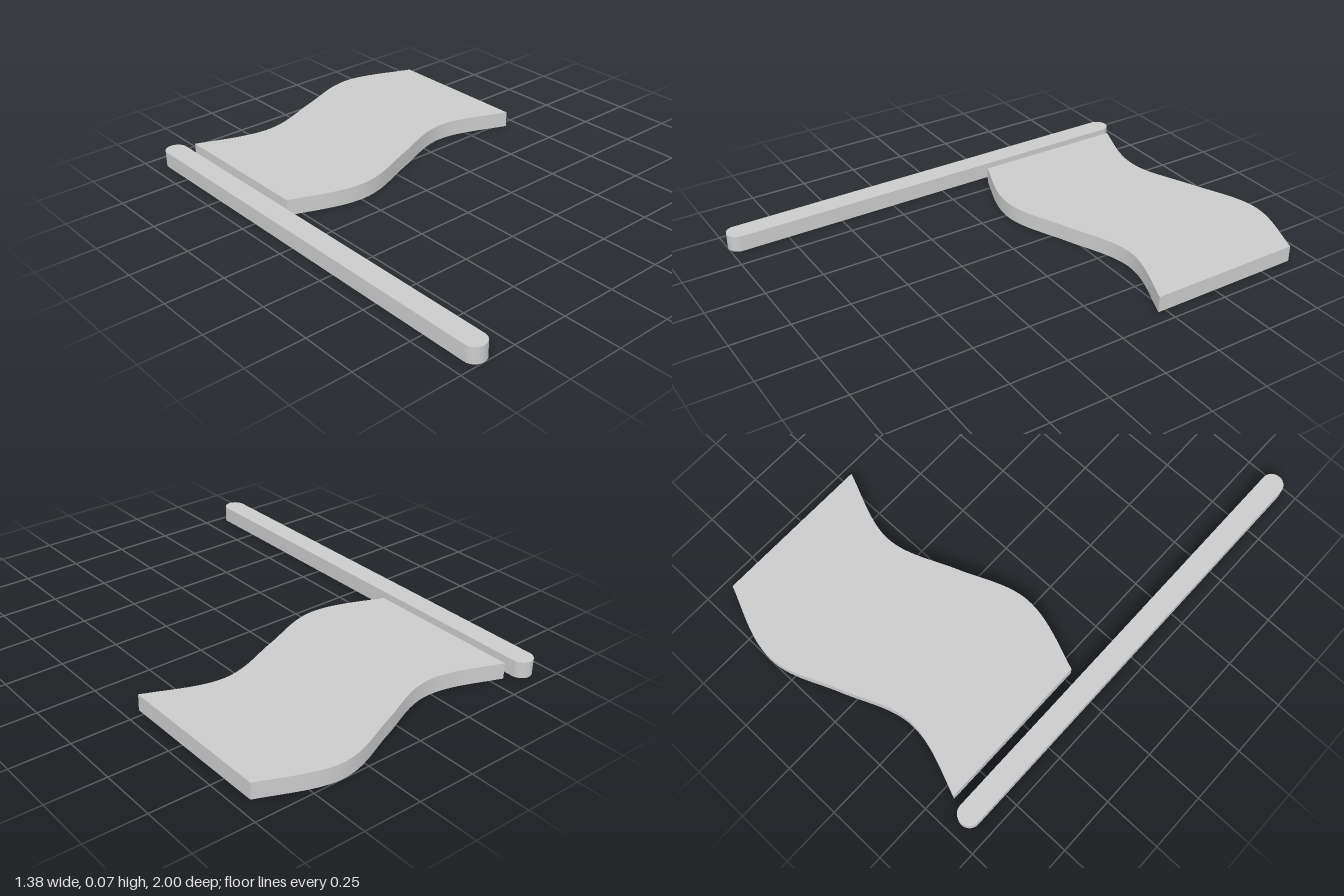
import * as THREE from 'three';
import { toCreasedNormals } from 'three/addons/utils/BufferGeometryUtils.js';

const THICKNESS = 0.07;

// Extrudes a plan outline (x, -z) upward from the ground
function slab(name, shape, material) {
  const extruded = new THREE.ExtrudeGeometry(shape, {
    depth: THICKNESS, bevelEnabled: false, curveSegments: 16,
  });
  extruded.rotateX(-Math.PI / 2);
  const mesh = new THREE.Mesh(toCreasedNormals(extruded, Math.PI / 6), material);
  mesh.name = name;
  return mesh;
}

// Long bar with a half-round cap at each end
function poleShape() {
  const x = -0.644, r = 0.047, back = 0.95, front = -1;
  const shape = new THREE.Shape();
  shape.moveTo(x + r, front + r);
  shape.lineTo(x + r, back - r);
  shape.absarc(x, back - r, r, 0, Math.PI, false);
  shape.lineTo(x - r, front + r);
  shape.absarc(x, front + r, r, Math.PI, Math.PI * 2, false);
  return shape;
}

// Waving cloth: the same S-curve bounds both long edges
function clothShape() {
  const wave = [
    [-0.555, 0.897], [-0.45, 0.858], [-0.345, 0.803], [-0.235, 0.803],
    [-0.13, 0.803], [-0.03, 0.866], [0.0675, 0.9015],
    [0.165, 0.937], [0.265, 1], [0.37, 1],
    [0.475, 1], [0.585, 0.936], [0.69, 0.897],
  ];
  const drop = 0.68;
  const far = [...wave].reverse();
  const near = wave.map(([x, y]) => [x, y - drop]);
  const shape = new THREE.Shape();
  const follow = (p) => {
    for (let i = 1; i < p.length; i += 3) {
      shape.bezierCurveTo(...p[i], ...p[i + 1], ...p[i + 2]);
    }
  };
  shape.moveTo(...near[0]);
  follow(near);
  shape.lineTo(...far[0]);
  follow(far);
  shape.closePath();
  return shape;
}

export function createModel() {
  const group = new THREE.Group();
  group.name = 'flag';
  const material = new THREE.MeshStandardMaterial({ color: 0xcccccc });
  group.add(slab('pole', poleShape(), material), slab('cloth', clothShape(), material));
  return group;
}
